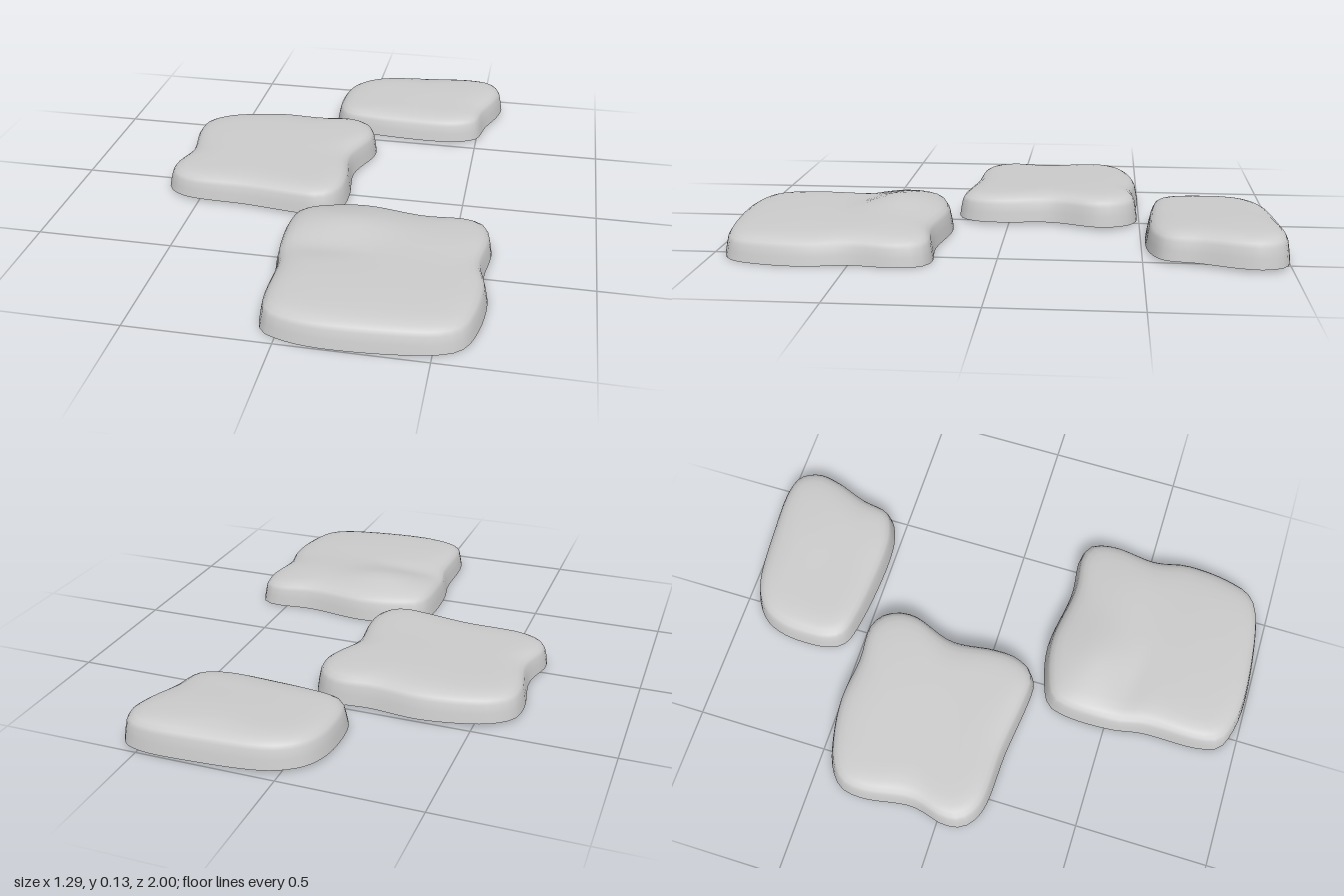
import * as THREE from 'three';

const SEGMENTS = 72;
// Shell rings from the foot to the middle: [distance in from the outline, fraction of the top height]
const EDGE = [[0, 0], [0.006, 0.35], [0.013, 0.66], [0.022, 0.8], [0.04, 0.9], [0.065, 0.96], [0.1, 0.99]];
const INNER = [0.85, 0.7, 0.55, 0.4, 0.25, 0.12]; // further rings, as a share of the last edge ring

const bump = (x, z, cx, cz, rx, rz) => Math.exp(-(((x - cx) / rx) ** 2) - ((z - cz) / rz) ** 2);

// Open-bottomed stone: an outline [x, z], a foot height and a rule for the height of the top
function steppingStone(name, outline, foot, topHeight) {
  const curve = new THREE.CatmullRomCurve3(
    outline.map(([x, z]) => new THREE.Vector3(x, 0, z)), true, 'centripetal');
  const rim = curve.getSpacedPoints(SEGMENTS).slice(0, SEGMENTS);
  const box = new THREE.Box3().setFromPoints(rim);
  const centre = box.getCenter(new THREE.Vector3());

  const positions = [];
  const addPoint = (x, z, f) => positions.push(x, foot + (topHeight(x, z) - foot) * f, z);
  const addRing = (scaleAt, f) => rim.forEach((p) => {
    const s = scaleAt(Math.hypot(p.x - centre.x, p.z - centre.z));
    addPoint(centre.x + (p.x - centre.x) * s, centre.z + (p.z - centre.z) * s, f);
  });
  EDGE.forEach(([inset, f]) => addRing((r) => 1 - inset / r, f));
  INNER.forEach((k) => addRing((r) => k * (1 - 0.1 / r), 1));
  addPoint(centre.x, centre.z, 1);

  // Outlines run clockwise seen from above
  const index = [];
  const rings = EDGE.length + INNER.length;
  for (let j = 0; j < rings; j++) {
    for (let i = 0; i < SEGMENTS; i++) {
      const n = (i + 1) % SEGMENTS;
      const a = j * SEGMENTS + i, b = j * SEGMENTS + n;
      if (j === rings - 1) index.push(a, rings * SEGMENTS, b);
      else index.push(a, a + SEGMENTS, b, b, a + SEGMENTS, b + SEGMENTS);
    }
  }
  const geometry = new THREE.BufferGeometry();
  geometry.setAttribute('position', new THREE.Float32BufferAttribute(positions, 3));
  geometry.setIndex(index);
  geometry.computeVertexNormals();
  const mesh = new THREE.Mesh(geometry,
    new THREE.MeshStandardMaterial({ color: 0xcccccc, side: THREE.DoubleSide }));
  mesh.name = name;
  return mesh;
}

export function createModel() {
  const group = new THREE.Group();
  group.name = 'steppingStones';

  // Large front stone with a raised ridge and a shallow dent
  group.add(steppingStone('frontStone', [
    [0.16, 0.2], [0.4, 0.23], [0.56, 0.22], [0.61, 0.245], [0.635, 0.33], [0.62, 0.51],
    [0.645, 0.64], [0.63, 0.81], [0.59, 0.915], [0.51, 0.96], [0.16, 0.995], [0.02, 0.975],
    [-0.05, 0.94], [-0.075, 0.86], [-0.08, 0.64], [-0.1, 0.53], [-0.1, 0.345],
    [-0.075, 0.27], [0.02, 0.225],
  ], 0, (x, z) => 0.104 - 0.012 * ((x - 0.2) / 0.4) ** 2 - 0.008 * Math.max(0, (z - 0.75) / 0.22)
    + 0.025 * bump(x, z, 0.13, 0.39, 0.17, 0.1)
    + 0.007 * bump(x, z, 0.45, 0.42, 0.16, 0.12)
    - 0.01 * bump(x, z, 0.03, 0.55, 0.14, 0.06)));

  // Middle stone, rising gently to the back and left
  group.add(steppingStone('middleStone', [
    [-0.31, -0.5], [-0.13, -0.485], [0.005, -0.49], [0.065, -0.46], [0.1, -0.4], [0.105, -0.33],
    [0.05, -0.16], [0.065, 0.015], [0.06, 0.1], [0.03, 0.165], [-0.02, 0.195], [-0.09, 0.195],
    [-0.31, 0.17], [-0.56, 0.15], [-0.63, 0.1], [-0.645, 0.03], [-0.615, -0.105],
    [-0.64, -0.3], [-0.625, -0.385], [-0.565, -0.44], [-0.47, -0.475],
  ], 0.01, (x, z) => 0.108 + 0.018 * (x + 0.27) - 0.014 * (z + 0.15)
    + 0.006 * bump(x, z, -0.15, -0.3, 0.25, 0.2)));

  // Small back stone
  group.add(steppingStone('backStone', [
    [0.48, -1], [0.55, -0.975], [0.585, -0.905], [0.575, -0.82], [0.53, -0.69], [0.5, -0.57],
    [0.43, -0.53], [0.33, -0.515], [0.04, -0.535], [-0.07, -0.565], [-0.105, -0.62],
    [-0.115, -0.74], [-0.105, -0.82], [-0.075, -0.89], [-0.02, -0.94], [0.065, -0.975], [0.3, -1],
  ], 0.01, (x, z) => 0.109 - 0.02 * (z + 0.75) + 0.01 * (x - 0.23)
    + 0.007 * bump(x, z, 0.33, -0.82, 0.2, 0.14)));

  return group;
}
